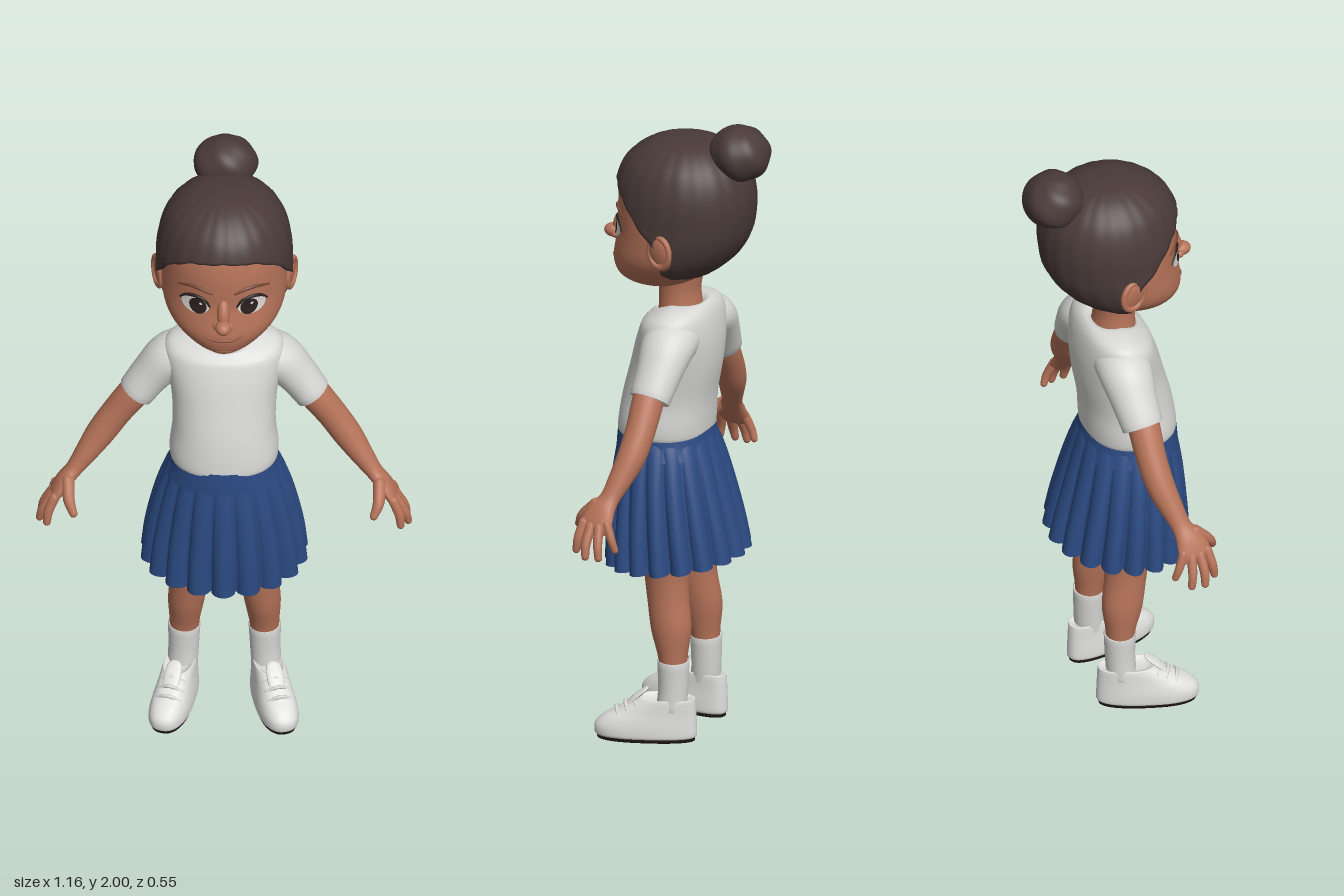
import * as THREE from 'three';

const mat = (name, color, side = THREE.FrontSide) => {
  const m = new THREE.MeshStandardMaterial({ color });
  m.name = name;
  m.side = side;
  return m;
};

// Smooth interpolation through rows of numbers
function smooth(rows, per) {
  const f = new THREE.CubicInterpolant(rows.map((_, i) => i), rows.flat(), rows[0].length);
  const count = (rows.length - 1) * per;
  return Array.from({ length: count + 1 }, (_, i) => Array.from(f.evaluate(i / per)));
}

// Surface closed around u, built from a point rule
function grid(nu, nv, fn) {
  const pos = [], idx = [];
  for (let j = 0; j <= nv; j++) for (let i = 0; i < nu; i++) pos.push(...fn(i / nu * Math.PI * 2, j));
  for (let j = 0; j < nv; j++) for (let i = 0; i < nu; i++) {
    const a = j * nu + i, b = j * nu + (i + 1) % nu;
    idx.push(a, b, a + nu, b, b + nu, a + nu);
  }
  const g = new THREE.BufferGeometry();
  g.setAttribute('position', new THREE.Float32BufferAttribute(pos, 3));
  g.setIndex(idx);
  g.computeVertexNormals();
  return g;
}

// Point on a section [y, halfWidth, frontZ, backZ]; pow above 2 squares it
const section = ([y, w, f, b], a, pow = 2) => {
  const s = Math.sin(a), c = Math.cos(a), e = 2 / pow;
  return [w * Math.sign(s) * Math.abs(s) ** e, y, (f + b) / 2 + (f - b) / 2 * Math.sign(c) * Math.abs(c) ** e];
};

function loft(rows, { seg = 40, pow = 2, per = 4, tweak = p => p } = {}) {
  const r = smooth(rows, per);
  return grid(seg, r.length - 1, (a, j) => tweak(section(r[j], a, pow), a));
}

// Tapered limb through [x, y, z, radius, radiusZ], with rounded or flat ends
function limb(points, { seg = 16, cap = 1 } = {}) {
  const rows = smooth(points.map(p => [...p.slice(0, 4), p[4] ?? p[3]]), 4);
  const rings = rows.map((r, i) => {
    const n = rows[Math.min(i + 1, rows.length - 1)], o = rows[Math.max(i - 1, 0)];
    const T = new THREE.Vector3(n[0] - o[0], n[1] - o[1], n[2] - o[2]).normalize();
    const B = new THREE.Vector3(0, 0, 1).addScaledVector(T, -T.z).normalize();
    return { p: new THREE.Vector3(r[0], r[1], r[2]), T, B, A: B.clone().cross(T), r: r[3], q: r[4] };
  });
  const ends = (ring, dir) => [1, 2, 3, 4].map(k => {
    const t = k * Math.PI / 8, c = Math.cos(t);
    return { ...ring, p: ring.p.clone().addScaledVector(ring.T, dir * cap * ring.r * Math.sin(t)), r: ring.r * c, q: ring.q * c };
  });
  const all = [...ends(rings[0], -1).reverse(), ...rings, ...ends(rings.at(-1), 1)];
  return grid(seg, all.length - 1, (a, j) => {
    const k = all[j];
    return k.p.clone().addScaledVector(k.A, k.r * Math.cos(a)).addScaledVector(k.B, k.q * Math.sin(a)).toArray();
  });
}

// Head sections, shared by face, hair and face details
const headRows = [
  [1.452, 0, .11, .11], [1.456, .06, .175, .02], [1.475, .098, .212, -.03], [1.505, .137, .225, -.065],
  [1.54, .17, .229, -.115], [1.58, .188, .223, -.155], [1.64, .196, .212, -.19], [1.7, .195, .213, -.203],
  [1.76, .192, .21, -.205], [1.82, .178, .197, -.193], [1.87, .152, .168, -.165], [1.91, .105, .115, -.118],
  [1.93, .052, .056, -.06], [1.935, 0, 0, 0]];
const headFine = smooth(headRows, 6);
function headAt(y) {
  const i = Math.max(1, headFine.findIndex(r => r[0] >= y));
  const a = headFine[i - 1], b = headFine[i], t = THREE.MathUtils.clamp((y - a[0]) / (b[0] - a[0]), 0, 1);
  return a.map((v, k) => v + (b[k] - v) * t);
}
function faceZ(x, y) {
  const [, w, f, b] = headAt(y);
  return (f + b) / 2 + (f - b) / 2 * Math.sqrt(Math.max(0, 1 - (x / w) ** 2));
}

// Thin oval plate following the face
function facePatch(cx, cy, rx, ry, off) {
  const g = new THREE.RingGeometry(0.001, 1, 28, 4), p = g.attributes.position;
  for (let i = 0; i < p.count; i++) {
    const x = cx + p.getX(i) * rx, y = cy + p.getY(i) * ry;
    p.setXYZ(i, x, y, faceZ(x, y) + off);
  }
  g.computeVertexNormals();
  return g;
}
// Tapered stroke [x, y, radius] following the face
const faceStroke = pts => limb(pts.map(([x, y, r]) => [x, y, faceZ(x, y) + .001, r]), { seg: 8 });

export function createModel() {
  const root = new THREE.Group();
  const skin = mat('skin', 0xb67359), hair = mat('dark hair', 0x493a38), white = mat('shirt white', 0xd6d6d4);
  const navy = mat('skirt navy', 0x2b4a82, THREE.DoubleSide), shoeWhite = mat('shoe white', 0xdededc);
  const soleDark = mat('sole dark', 0x2b2022), eyeWhite = mat('eye white', 0xd9d6d2);
  const irisDark = mat('iris dark', 0x2c211f), brow = mat('brow brown', 0x7a4836), lip = mat('lip', 0x93503f);
  const add = (name, geo, m, parent = root) => {
    const mesh = new THREE.Mesh(geo, m);
    mesh.name = name;
    parent.add(mesh);
    return mesh;
  };
  const ball = (name, m, pos, scale, rot = [0, 0, 0]) => {
    const b = add(name, new THREE.SphereGeometry(1, 28, 20), m);
    b.position.set(...pos); b.scale.set(...scale); b.rotation.set(...rot);
    return b;
  };

  // Head and neck
  add('head', loft(headRows, { seg: 56, per: 5 }), skin);
  add('neck', loft([[1.33, .085, .09, -.065], [1.39, .073, .085, -.05], [1.45, .068, .085, -.045], [1.53, .075, .09, -.06]]), skin);
  ball('noseBridge', skin, [0, 1.63, .216], [.02, .05, .026], [-.4, 0, 0]);
  ball('noseTip', skin, [0, 1.596, .245], [.025, .022, .03]);
  ball('chin', skin, [0, 1.488, .185], [.05, .028, .035]);

  // Hair cap: hairline height by angle from the front, in degrees
  const line = [[0, 1.815], [30, 1.803], [50, 1.765], [62, 1.73], [72, 1.69], [85, 1.65], [95, 1.615], [104, 1.545], [120, 1.52], [180, 1.505]];
  const hairline = a => {
    const d = Math.abs(THREE.MathUtils.radToDeg(a > Math.PI ? a - Math.PI * 2 : a));
    const i = Math.max(1, line.findIndex(l => l[0] >= d - 1e-6)), [p, q] = [line[i - 1], line[i]];
    return p[1] + (q[1] - p[1]) * (d - p[0]) / (q[0] - p[0]);
  };
  add('hair', grid(112, 30, (a, j) => {
    const s = Math.max(0, j - 2) / 28, y0 = hairline(a);
    const [y, w, f, b] = headAt(y0 + (1.935 - y0) * Math.sin(s * Math.PI / 2));
    const puff = [-.008, .008, .014][Math.min(j, 2)] + (j > 1 ? .0025 * Math.abs(Math.sin(a * 11)) : 0);
    const off = puff * Math.min(1, w / .06);
    return section([y + .011 * s, w + off, f + off, b - off], a);
  }), hair);
  const bun = add('hairBun', grid(48, 24, (a, j) => {
    const t = j / 24 * Math.PI, k = 1 + .025 * Math.sin(a * 5 + t * 4) * Math.sin(t);
    return [.1 * k * Math.sin(t) * Math.sin(a), -.085 * k * Math.cos(t), .094 * k * Math.sin(t) * Math.cos(a)];
  }), hair);
  bun.position.set(0, 1.914, -.183);
  bun.rotation.x = -.3;

  // Mouth
  add('mouth', faceStroke([[-.062, 1.546, .002], [-.035, 1.535, .004], [0, 1.532, .005], [.035, 1.535, .004], [.062, 1.546, .002]]), lip);

  // Shirt body with a scooped neckline
  add('shirt', loft([
    [.985, .13, .17, -.05], [.978, .162, .205, -.076], [1.02, .168, .206, -.082], [1.1, .159, .193, -.088], [1.2, .163, .167, -.105],
    [1.28, .178, .145, -.109], [1.34, .188, .124, -.103], [1.38, .174, .107, -.093], [1.402, .13, .096, -.08],
    [1.41, .085, .092, -.066], [1.4, .068, .08, -.05]], {
    seg: 48, pow: 2.2,
    tweak: ([x, y, z], a) => [x, y - Math.max(0, y - 1.35) * .55 * Math.max(0, Math.cos(a)), z]
  }), white);

  // Pleated skirt and waistband
  const waist = [[.92, .182, .214, -.1], [.955, .17, .213, -.088], [.997, .162, .209, -.079]];
  add('waistband', loft(waist, { seg: 48, pow: 2.1 }), navy);
  const skirtRows = smooth([[.55, .247, .237, -.184], [.68, .234, .232, -.158], [.82, .209, .224, -.126], [.92, .182, .213, -.1], [.985, .16, .206, -.077]], 4);
  add('skirt', grid(216, skirtRows.length - 1, (a, j) => {
    const row = skirtRows[j], t = 1 - j / (skirtRows.length - 1);
    const k = 1 + .17 * Math.min(1, t * 1.1 + .06) * (Math.abs(Math.cos(a * 9)) ** .6 - .68);
    const [x, y, z] = section(row, a), cz = (row[2] + row[3]) / 2;
    return [x * k, y + t * (1 - Math.cos(a)) * .02, cz + (z - cz) * k];
  }), navy);

  for (const s of [1, -1]) {
    const side = s > 0 ? 'left' : 'right';
    const flip = pts => pts.map(([x, ...rest]) => [x * s, ...rest]);

    // Ears
    ball(side + 'Ear', skin, [.196 * s, 1.622, .004], [.018, .06, .044], [.15, -.3 * s, -.12 * s]);
    const rim = add(side + 'EarRim', new THREE.TorusGeometry(.04, .009, 10, 28), skin);
    rim.position.set(.206 * s, 1.628, 0);
    rim.rotation.set(0, Math.PI / 2 - .3 * s, 0);
    rim.scale.y = 1.2;

    // Eyes and brows
    add(side + 'EyeWhite', facePatch(.087 * s, 1.648, .043, .03, .004), eyeWhite);
    add(side + 'Iris', facePatch(.079 * s, 1.648, .027, .028, .007), irisDark);
    add(side + 'EyeGlint', facePatch(.079 * s + .009, 1.659, .005, .005, .009), eyeWhite);
    add(side + 'UpperLid', faceStroke(flip([[.042, 1.648, .003], [.058, 1.671, .005], [.088, 1.68, .006], [.115, 1.672, .005], [.134, 1.652, .003]])), irisDark);
    add(side + 'Eyebrow', faceStroke(flip([[.036, 1.7, .004], [.065, 1.711, .006], [.1, 1.714, .006], [.14, 1.698, .003]])), brow);
    ball(side + 'Nostril', skin, [.019 * s, 1.591, .229], [.014, .013, .016]);

    // Sleeves
    add(side + 'Sleeve', limb(flip([[.1, 1.315, -.005, .07, .085], [.165, 1.297, -.008, .073, .084], [.222, 1.235, -.005, .063, .072], [.272, 1.166, .003, .057, .065]]), { seg: 28, cap: 0 }), white);

    // Arm running into the palm
    add(side + 'Arm', limb(flip([
      [.2, 1.27, 0, .046], [.27, 1.175, .005, .05], [.33, 1.09, .006, .047], [.38, 1.015, .015, .045], [.427, .948, .035, .035, .037],
      [.463, .9, .052, .026, .032], [.495, .865, .067, .023, .046], [.52, .828, .074, .018, .053], [.529, .812, .076, .012, .046]]), { seg: 24 }), skin);
    const fingers = {
      Thumb: [[.48, .882, .09, .02], [.477, .838, .134, .018], [.463, .803, .155, .013]],
      IndexFinger: [[.522, .832, .113, .016], [.541, .785, .123, .015], [.545, .749, .128, .012]],
      MiddleFinger: [[.528, .825, .087, .016], [.557, .775, .091, .015], [.568, .738, .088, .012]],
      RingFinger: [[.528, .825, .06, .016], [.555, .775, .052, .014], [.563, .738, .046, .012]],
      LittleFinger: [[.52, .835, .036, .015], [.53, .79, .017, .013], [.528, .758, .006, .011]]
    };
    for (const [n, pts] of Object.entries(fingers)) add(side + n, limb(flip(pts), { seg: 12 }), skin);

    // Legs and socks
    add(side + 'Leg', limb(flip([[.124, .2, -.013, .044], [.123, .27, -.01, .046], [.118, .36, -.002, .056, .064], [.108, .45, .012, .06, .066], [.102, .53, .02, .066, .07], [.098, .65, .025, .08], [.09, .82, .04, .085]]), { seg: 24 }), skin);
    add(side + 'Sock', limb(flip([[.13, .1, -.008, .047], [.126, .17, -.012, .047], [.124, .258, -.012, .05]]), { seg: 24, cap: 0 }), white);

    // Shoes, toes turned out
    const shoe = new THREE.Group();
    shoe.name = side + 'Shoe';
    shoe.position.set(.15 * s, 0, .067);
    shoe.rotation.y = .27 * s;
    root.add(shoe);
    const toeWide = ([x, y, z]) => [x * (1 + z * .9), y, z];
    add('sole', loft([[0, 0, 0, 0], [.0005, .054, .153, -.15], [.014, .056, .155, -.152]], { pow: 2.4, per: 1, tweak: toeWide }), soleDark, shoe);
    add('upper', loft([
      [.01, .054, .154, -.15], [.018, .06, .161, -.157], [.045, .06, .16, -.157], [.07, .057, .137, -.156], [.09, .054, .103, -.155],
      [.11, .052, .07, -.154], [.13, .05, .038, -.152], [.138, .046, .025, -.148], [.128, .03, 0, -.12], [.125, 0, -.06, -.06]],
      { pow: 2.4, tweak: toeWide }), shoeWhite, shoe);
    add('tongue', limb([[0, .105, .06, .026, .01], [0, .135, .032, .027, .009], [0, .152, .012, .024, .007]]), shoeWhite, shoe);
    for (let i = 0; i < 3; i++) {
      const z = .035 + i * .028, y = .13 - i * .017;
      add('lace', limb([[-.036, y - .012, z - .006, .005], [0, y + .006, z + .003, .006], [.036, y - .012, z - .006, .005]], { seg: 8 }), white, shoe);
    }
  }
  return root;
}
